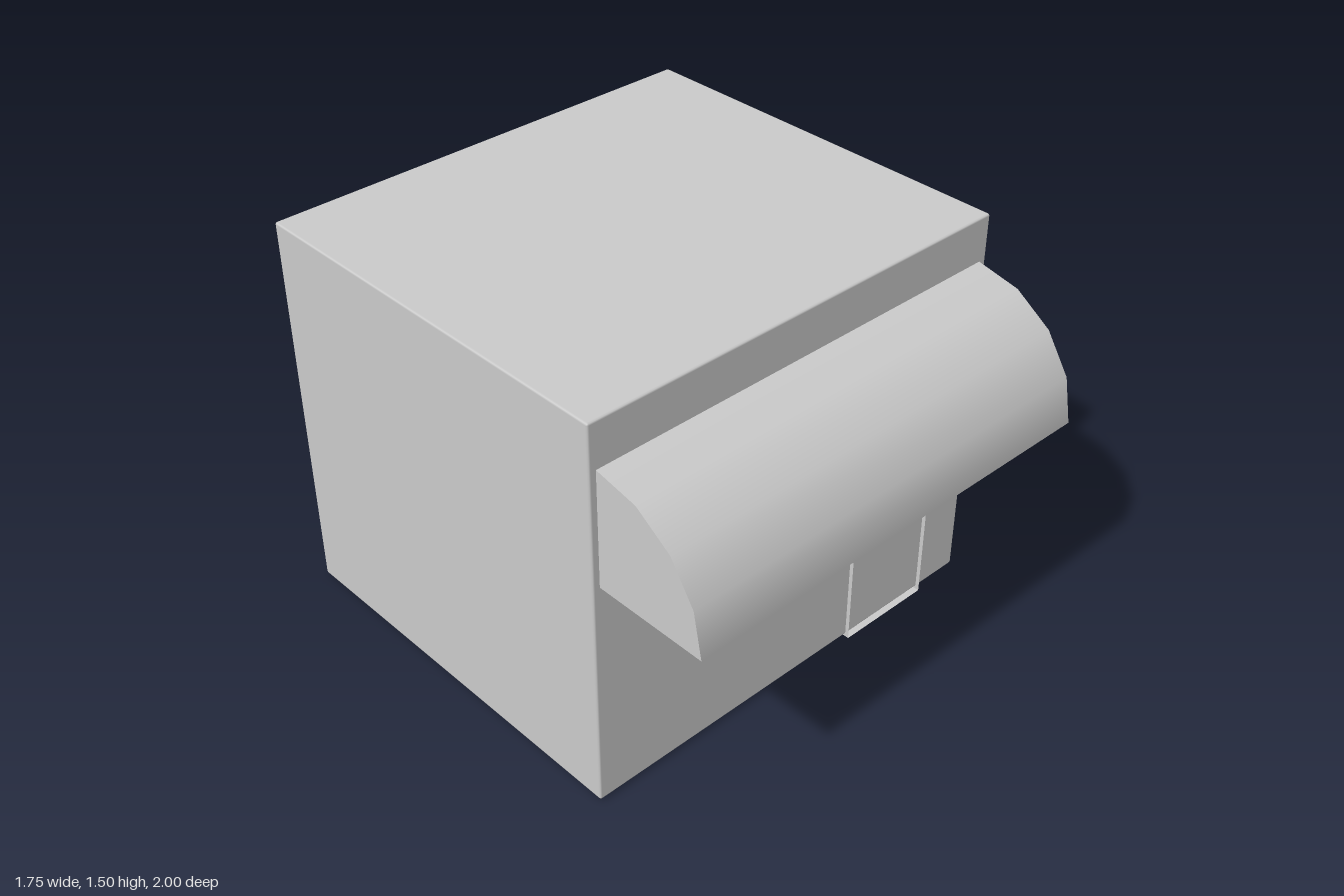
import * as THREE from 'three';
import { RoundedBoxGeometry } from 'three/addons/geometries/RoundedBoxGeometry.js';

export function createModel() {
  const group = new THREE.Group();
  const solid = new THREE.MeshStandardMaterial({ color: 0xcccccc });
  const thin = new THREE.MeshStandardMaterial({ color: 0xcccccc, side: THREE.DoubleSide });

  const add = (parent, name, geometry, material, x, y, z) => {
    const mesh = new THREE.Mesh(geometry, material);
    mesh.name = name;
    mesh.position.set(x, y, z);
    parent.add(mesh);
    return mesh;
  };

  // Shop block with slightly softened edges
  const wallZ = 0.565;
  add(group, 'building', new RoundedBoxGeometry(1.755, 1.495, 1 + wallZ, 1, 0.008), solid,
    0, 0.7575, (wallZ - 1) / 2);

  // Quarter-round awning, open underneath, with flat ends
  const awning = new THREE.Group();
  awning.name = 'awning';
  awning.position.set(-0.003, 0.9, wallZ);
  group.add(awning);
  const radius = 0.435, width = 1.695, quarter = Math.PI / 2;
  const canopy = new THREE.CylinderGeometry(radius, radius, width, 4, 1, true, 0, quarter);
  canopy.rotateZ(quarter); // axis along x, curve from wall top to front lip
  add(awning, 'awningCanopy', canopy, thin, 0, 0, 0);
  for (const side of [-1, 1]) {
    const end = new THREE.CircleGeometry(radius, 4, 0, quarter);
    end.rotateY(-quarter); // stands in the yz plane, towards +z
    add(awning, side > 0 ? 'awningEndLeft' : 'awningEndRight', end, thin, side * width / 2, 0, 0);
  }

  // Shallow door surround, open at the front
  const door = new THREE.Group();
  door.name = 'doorSurround';
  door.position.set(0.4825, 0.3225, 0.557);
  group.add(door);
  const doorW = 0.385, doorH = 0.645, depth = 0.046;
  for (const side of [-1, 1]) {
    const jamb = new THREE.PlaneGeometry(depth, doorH).rotateY(side * quarter);
    add(door, side > 0 ? 'doorJambLeft' : 'doorJambRight', jamb, thin, side * doorW / 2, 0, 0);
    const rail = new THREE.PlaneGeometry(doorW, depth).rotateX(-side * quarter);
    add(door, side > 0 ? 'doorHead' : 'doorSill', rail, thin, 0, side * doorH / 2, 0);
  }

  return group;
}
